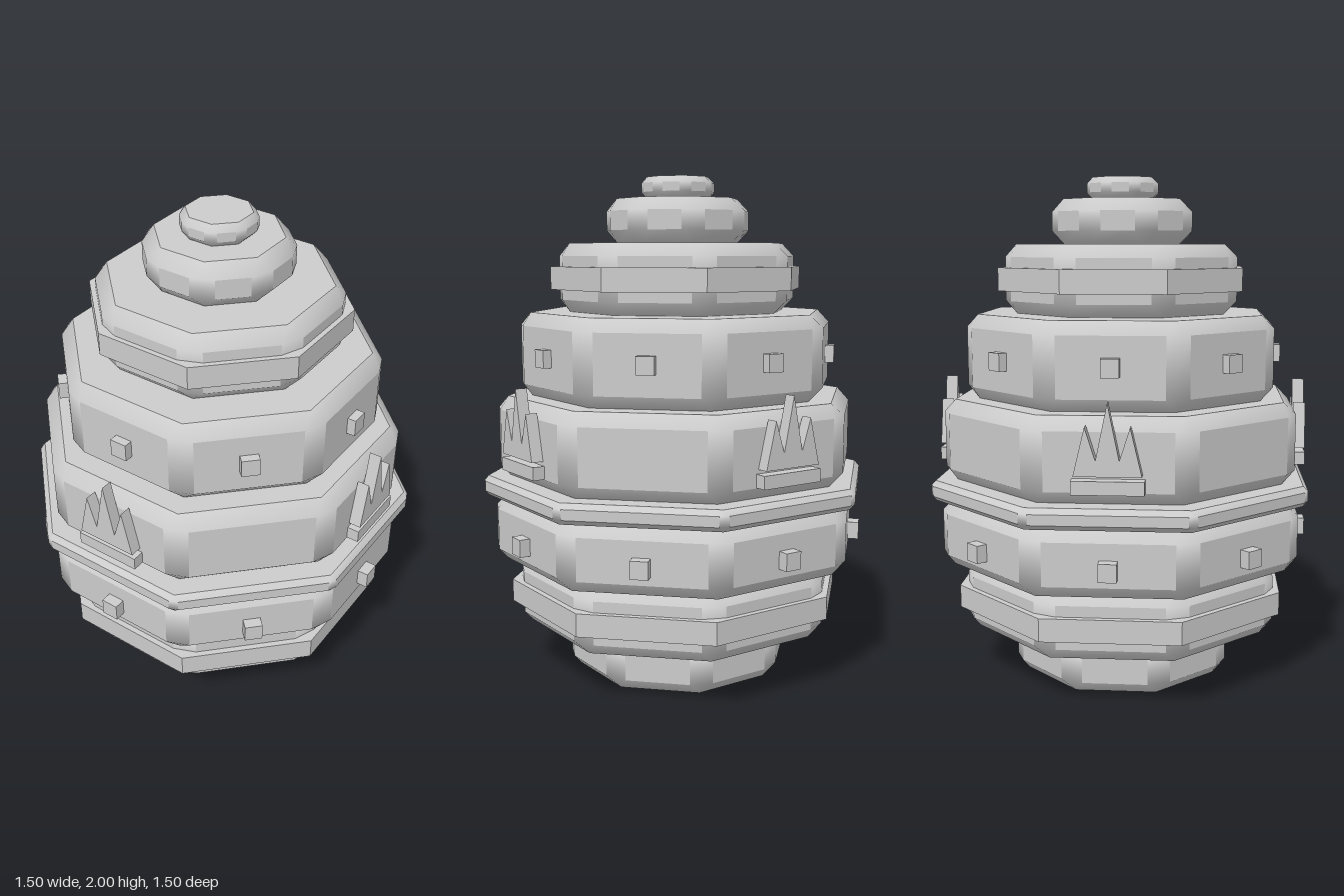
import * as THREE from 'three';
import { mergeVertices, mergeGeometries } from 'three/addons/utils/BufferGeometryUtils.js';

const SIDES = 8;
const STEP = (Math.PI * 2) / SIDES;
const TAN = Math.tan(STEP / 2);

// Point on side k: distance out from the axis, offset along the side, height
function sidePoint(k, out, along, y) {
  const s = Math.sin(k * STEP), c = Math.cos(k * STEP);
  return [out * s + along * c, y, out * c - along * s];
}

function fromTriangles(list) {
  const g = new THREE.BufferGeometry();
  g.setAttribute('position', new THREE.Float32BufferAttribute(list.flat(), 3));
  return g;
}

// Octagonal slab with every edge bevelled: flat faces stay flat, bevels are smooth
function bevelledSlab(apothem, y0, y1, b) {
  const flats = [], bevels = [];
  const quad = (list, p, q, r, s) => list.push(p, q, r, p, r, s);
  const half = apothem * TAN - b;
  const inner = apothem - b;
  const cap = (k, y) => sidePoint((k + SIDES) % SIDES, inner, inner * TAN, y);
  const side = (k, sign, y) => sidePoint(k % SIDES, apothem, sign * half, y);
  const lo = y0 + b, hi = y1 - b;
  for (let k = 0; k < SIDES; k++) {
    const bl = side(k, -1, lo), br = side(k, 1, lo);
    const tl = side(k, -1, hi), tr = side(k, 1, hi);
    const nextB = side(k + 1, -1, lo), nextT = side(k + 1, -1, hi);
    quad(flats, bl, br, tr, tl);
    quad(bevels, tl, tr, cap(k, y1), cap(k - 1, y1));
    quad(bevels, cap(k - 1, y0), cap(k, y0), br, bl);
    quad(bevels, br, nextB, nextT, tr);
    bevels.push(tr, nextT, cap(k, y1), br, cap(k, y0), nextB);
    flats.push([0, y1, 0], cap(k - 1, y1), cap(k, y1));
    flats.push([0, y0, 0], cap(k, y0), cap(k - 1, y0));
  }
  const flat = fromTriangles(flats);
  flat.computeVertexNormals();
  const smooth = mergeVertices(fromTriangles(bevels), 1e-4);
  smooth.computeVertexNormals();
  return mergeGeometries([flat, smooth.toNonIndexed()]);
}

// Sharp octagonal band with a flat side facing the front
function bandGeometry(apothem, height) {
  const r = apothem / Math.cos(STEP / 2);
  const g = new THREE.CylinderGeometry(r, r, height, SIDES).toNonIndexed();
  g.rotateY(STEP / 2);
  g.computeVertexNormals();
  return g;
}

export function createModel() {
  const model = new THREE.Group();
  model.name = 'tieredEgg';
  const stone = new THREE.MeshStandardMaterial({ color: 0xcccccc });
  stone.name = 'paleGrey';

  const add = (parent, name, geometry, x = 0, y = 0, z = 0) => {
    const mesh = new THREE.Mesh(geometry, stone);
    mesh.name = name;
    mesh.position.set(x, y, z);
    parent.add(mesh);
    return mesh;
  };

  // Stacked tiers: name, apothem, bottom, top, bevel
  const tiers = [
    ['baseTier', 0.43, 0, 0.205, 0.05],
    ['lowerTier', 0.615, 0.205, 0.475, 0.05],
    ['bellyTier', 0.705, 0.475, 0.74, 0.05],
    ['waistRim', 0.738, 0.74, 0.82, 0.02],
    ['crownTier', 0.688, 0.82, 1.14, 0.05],
    ['shoulderTier', 0.6, 1.14, 1.47, 0.05],
    ['upperTier', 0.455, 1.47, 1.74, 0.05],
    ['neckTier', 0.278, 1.74, 1.915, 0.05],
    ['topKnob', 0.142, 1.915, 2, 0.025],
  ];
  for (const [name, a, y0, y1, b] of tiers) add(model, name, bevelledSlab(a, y0, y1, b));

  // Plain bands around two tiers
  add(model, 'lowerBand', bandGeometry(0.638, 0.09), 0, 0.337);
  add(model, 'upperBand', bandGeometry(0.475, 0.09), 0, 1.604);

  // Studs on every side of two tiers
  const stud = new THREE.BoxGeometry(0.068, 0.068, 0.068);
  for (const [name, r, y] of [['bellyStud', 0.714, 0.593], ['shoulderStud', 0.6, 1.307]]) {
    for (let k = 0; k < SIDES; k++) {
      const t = k * STEP;
      add(model, name, stud, r * Math.sin(t), y, r * Math.cos(t)).rotation.y = t;
    }
  }

  // Three-pointed crown ornaments on the four main sides
  const points = [[-0.122, 0.938], [0.122, 0.938], [0.08, 1.115], [0.042, 0.995],
    [0, 1.2], [-0.042, 0.995], [-0.08, 1.115]];
  const spikes = new THREE.ExtrudeGeometry(
    new THREE.Shape(points.map(([x, y]) => new THREE.Vector2(x, y))),
    { depth: 0.047, bevelEnabled: false });
  const bar = new THREE.BoxGeometry(0.262, 0.05, 0.05);
  for (let k = 0; k < 4; k++) {
    const ornament = new THREE.Group();
    ornament.name = 'crownOrnament';
    add(ornament, 'crownSpikes', spikes, 0, 0, 0.688);
    add(ornament, 'crownBar', bar, 0, 0.897, 0.71);
    ornament.rotation.y = (k * Math.PI) / 2;
    model.add(ornament);
  }
  return model;
}
